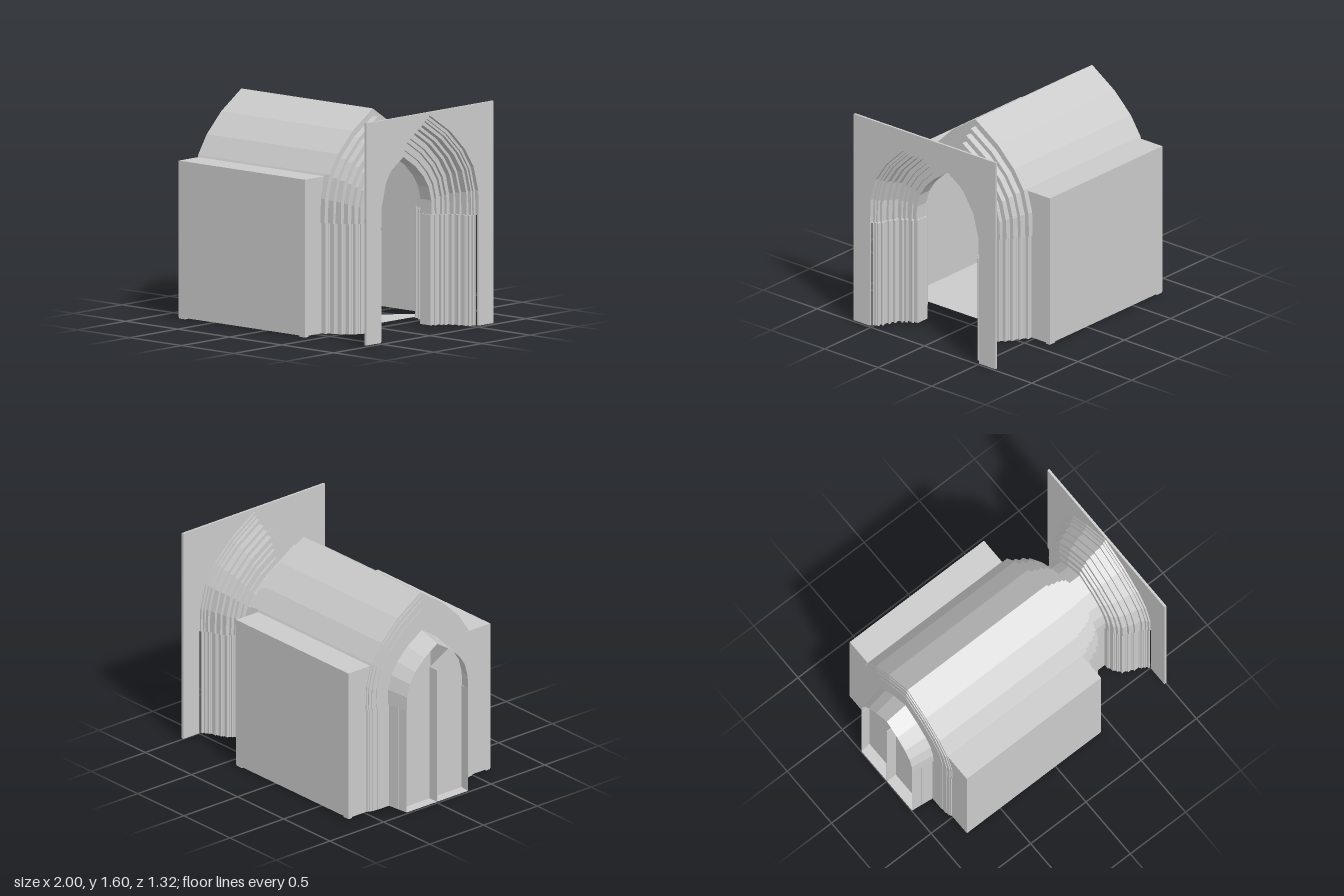
import * as THREE from 'three';

const BASE = 0.01, SPRING = 0.8, RISE = 1.53;
const grey = new THREE.MeshStandardMaterial({ color: 0xcccccc, flatShading: true, side: THREE.DoubleSide });

// Half of a pointed arch of half-width w, from springing to apex, as [z, y]
const UNIT = [[1, 0], [0.99, 0.23], [0.9, 0.45], [0.72, 0.63], [0.42, 0.82], [0, 1]];
const halfArch = (w) => UNIT.map(([u, v]) => [u * w, SPRING + v * w * RISE]);
const mirrorArch = (half) => [...half, ...half.slice(0, -1).reverse().map(([z, y]) => [-z, y])];

// Whole opening: jambs set in by inset below the springing, then the arch
function opening(w, inset = 0) {
  return mirrorArch([[w - inset, BASE], [w - inset, SPRING], ...halfArch(w)]);
}

// Surface through cross-sections [x, [[z, y], ...]]
function loft(sections) {
  const pos = [], index = [], n = sections[0][1].length;
  for (const [x, pts] of sections) for (const [z, y] of pts) pos.push(x, y, z);
  for (let s = 0; s < sections.length - 1; s++) {
    for (let i = 0; i < n - 1; i++) {
      const a = s * n + i, b = a + n;
      index.push(a, a + 1, b, b, a + 1, b + 1);
    }
  }
  const g = new THREE.BufferGeometry();
  g.setAttribute('position', new THREE.Float32BufferAttribute(pos, 3));
  g.setIndex(index);
  g.computeVertexNormals();
  return g;
}

// Turn [x, w] rings into a staircase: along the axis, then inward
function stairs(rings, inset) {
  const out = [];
  rings.forEach(([x, w], i) => {
    if (i > 0) out.push([x, opening(rings[i - 1][1], inset)]);
    out.push([x, opening(w, inset)]);
  });
  return out;
}

// Flat panel in the z-y plane at a given x
function panel(pts, x, depth = 0, hole) {
  const shape = new THREE.Shape(pts.map(([z, y]) => new THREE.Vector2(-z, y)));
  if (hole) shape.holes.push(new THREE.Path(hole.map(([z, y]) => new THREE.Vector2(-z, y))));
  const g = depth
    ? new THREE.ExtrudeGeometry(shape, { depth, bevelEnabled: false })
    : new THREE.ShapeGeometry(shape);
  return g.rotateY(Math.PI / 2).translate(x, 0, 0);
}

export function createModel() {
  const model = new THREE.Group();
  const add = (name, geometry, parent = model) => {
    const mesh = new THREE.Mesh(geometry, grey);
    mesh.name = name;
    parent.add(mesh);
    return mesh;
  };

  // Thin front wall cut by the widest arch
  add('facadeWall', panel([
    [0.66, BASE], [0.66, 1.6], [-0.66, 1.6], [-0.66, BASE],
    ...opening(0.507).reverse(),
  ], 0.983, 0.017));

  // Stepped arches narrowing to the doorway and widening again
  const outer = [[0.985, 0.507], [0.97, 0.49], [0.955, 0.477], [0.93, 0.458], [0.88, 0.44],
    [0.84, 0.42], [0.8, 0.39], [0.78, 0.366], [0.76, 0.327], [0.745, 0.294]];
  const inner = [[0.41, 0.5], [0.45, 0.465], [0.5, 0.44], [0.55, 0.41], [0.59, 0.375],
    [0.62, 0.335], [0.64, 0.294]];
  add('outerArchivolts', loft(stairs(outer, 0.01)));
  add('innerArchivolts', loft(stairs(inner, 0.01)));
  add('doorwayPassage', loft([[0.64, opening(0.294, 0.01)], [0.745, opening(0.294, 0.01)]]));

  // Slender shafts standing in the jamb steps
  const shafts = new THREE.Group();
  shafts.name = 'jambShafts';
  model.add(shafts);
  for (const rings of [outer.slice(2, -1), inner.slice(1, -1)]) {
    for (const [x, w] of rings) {
      for (const s of [-1, 1]) {
        const g = new THREE.CylinderGeometry(0.01, 0.01, SPRING - BASE, 8);
        add('jambShaft', g, shafts).position.set(x, (SPRING + BASE) / 2, s * (w - 0.01));
      }
    }
  }

  // Chamber: side walls, ledges, end walls and vaulted roof
  const X0 = -0.805, X1 = 0.41, EAVE = 1.13, W = 0.66;
  const roofHalf = [[0.457, EAVE], ...halfArch(0.5).slice(2)];
  roofHalf[1] = [0.45, 1.145];
  const roof = mirrorArch(roofHalf);
  add('vaultRoof', loft([[X0, roof], [X1, roof]]));
  for (const s of [-1, 1]) {
    const wall = [[s * W, BASE], [s * W, EAVE], [s * 0.457, EAVE]];
    add('sideWallAndLedge', loft([[X0, wall], [X1, wall]]));
    for (const x of [X0, X1]) {
      add('endWall', panel([
        [s * W, BASE], [s * W, EAVE], [s * 0.457, EAVE],
        [s * 0.495, 0.976], [s * 0.5, SPRING], [s * 0.49, SPRING], [s * 0.49, BASE],
      ], x));
      // Small feet under the corners
      add('cornerFoot', new THREE.BoxGeometry(0.055, BASE, 0.035))
        .position.set(x === X0 ? x + 0.03 : x - 0.03, BASE / 2, s * (W - 0.02));
    }
  }

  // Triangular floor slab
  const floor = new THREE.Shape([[X1, -W], [X0, W], [X1, W]].map(([x, z]) => new THREE.Vector2(x, z)));
  add('chamberFloor', new THREE.ShapeGeometry(floor).rotateX(Math.PI / 2).translate(0, BASE, 0));

  // Stepped surround at the far end, then the tapering porch
  add('rearSurround', loft(stairs(
    [[X0, 0.5], [-0.812, 0.485], [-0.82, 0.46], [-0.826, 0.42], [-0.83, 0.315]], 0.01)));
  add('porchShell', loft([[-0.83, opening(0.315, 0.01)], [-1, opening(0.285)]]));
  add('porchFloor', loft([
    [-0.83, [[-0.305, BASE], [0.305, BASE]]],
    [-1, [[-0.285, BASE], [0.285, BASE]]],
  ]));

  // Porch end wall with a triangular opening, and the rib on its centre line
  add('porchEndWall', panel(opening(0.298), -0.92, 0, [[0.004, 1.225], [0.004, 1.03], [0.17, 1.12]]));
  add('porchCentreRib', new THREE.BoxGeometry(0.08, 1.02, 0.006)).position.set(-0.96, 0.52, 0);

  return model;
}
